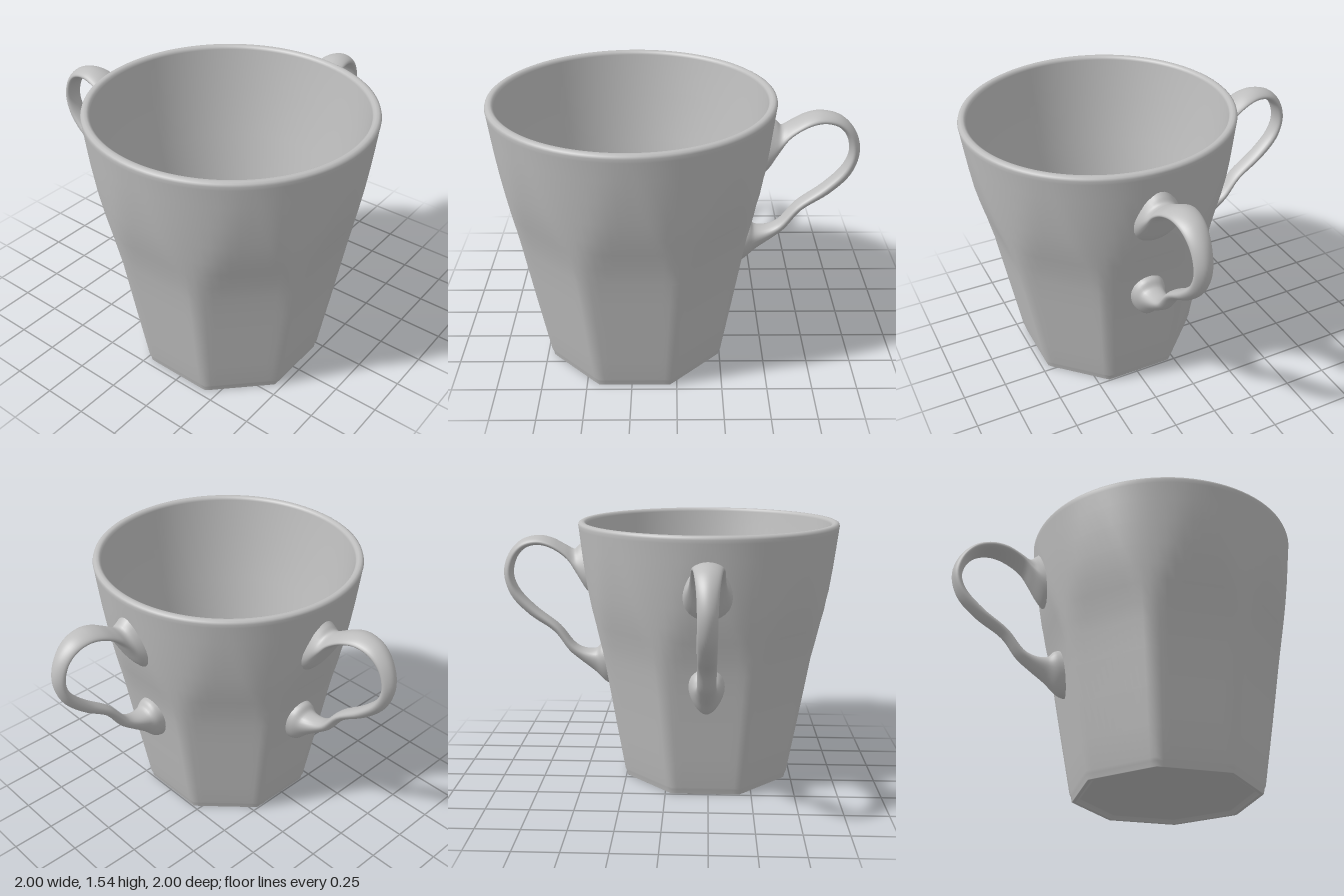
import * as THREE from 'three';

const glaze = new THREE.MeshStandardMaterial({ color: 0xbebebe });
glaze.name = 'grey glaze';

// Smooth skin over rows of closed rings; point(row, angle) gives [x, y, z]
function skin(name, rows, cols, point) {
  const positions = [], index = [];
  rows.forEach((row, i) => {
    for (let j = 0; j < cols; j++) {
      positions.push(...point(row, (j / cols) * Math.PI * 2));
      if (i === rows.length - 1) continue;
      const k = (j + 1) % cols, a = i * cols, b = a + cols;
      index.push(a + j, a + k, b + j, a + k, b + k, b + j);
    }
  });
  const geometry = new THREE.BufferGeometry();
  geometry.setAttribute('position', new THREE.Float32BufferAttribute(positions, 3));
  geometry.setIndex(index);
  geometry.computeVertexNormals();
  const mesh = new THREE.Mesh(geometry, glaze);
  mesh.name = name;
  return mesh;
}

// Cup rows: height, distance to the eight flats, radius of the round cone that trims the corners
const foot = [
  [0.02, 0, 0], [0.02, 0.43, 0.465], [0.018, 0.44, 0.475],
  [0.002, 0.455, 0.492], [0, 0.46, 0.497], [0, 0.475, 0.513], [0.002, 0.478, 0.516],
];
const wall = [
  [0.03, 0.482, 0.521], [0.045, 0.49, 0.529], [0.2, 0.516, 0.556], [0.4, 0.548, 0.591],
  [0.6, 0.58, 0.625], [0.75, 0.607, 0.65], [0.85, 0.629, 0.668], [0.95, 0.657, 0.686],
  [1.04, 0.683, 0.702], [1.15, 0.708, 0.72], [1.28, 0.732, 0.738], [1.4, 0.75, 0.752],
  [1.5, 0.763, 0.763],
];
const rim = [
  [1.52, 0.766, 0.766], [1.533, 0.762, 0.762], [1.54, 0.75, 0.75],
  [1.54, 0.735, 0.735], [1.533, 0.724, 0.724], [1.52, 0.718, 0.718],
];
const inside = [
  [1.3, 0.69, 0.69], [1.0, 0.628, 0.628], [0.7, 0.567, 0.567], [0.4, 0.515, 0.515],
  [0.2, 0.485, 0.485], [0.15, 0.474, 0.474], [0.125, 0.455, 0.455], [0.115, 0.425, 0.425],
  [0.11, 0.2, 0.2], [0.11, 0, 0],
];

function cupPoint([y, flat, round], angle) {
  const side = Math.PI / 4;
  const fromFlat = angle - Math.round(angle / side) * side;
  const r = Math.min(round, flat / Math.cos(fromFlat));
  return [r * Math.cos(angle), y, -r * Math.sin(angle)];
}

// Handle sections: outer x, y, inner x, y, half width
const sections = [
  [0.50, 1.42, 0.435, 1.06, 0.135], [0.535, 1.39, 0.49, 1.12, 0.12],
  [0.565, 1.365, 0.55, 1.22, 0.10], [0.62, 1.39, 0.60, 1.30, 0.09],
  [0.70, 1.43, 0.69, 1.365, 0.085], [0.78, 1.445, 0.78, 1.388, 0.075],
  [0.88, 1.42, 0.86, 1.368, 0.065], [0.96, 1.34, 0.915, 1.31, 0.055],
  [0.997, 1.22, 0.94, 1.21, 0.05], [0.96, 1.08, 0.91, 1.12, 0.05],
  [0.85, 0.96, 0.81, 1.01, 0.05], [0.70, 0.855, 0.665, 0.895, 0.05],
  [0.61, 0.735, 0.57, 0.78, 0.05], [0.54, 0.675, 0.51, 0.752, 0.055],
  [0.45, 0.605, 0.44, 0.755, 0.07], [0.375, 0.535, 0.408, 0.79, 0.09],
  [0.32, 0.52, 0.37, 0.80, 0.10],
];
const cupX = -0.234, cupZ = 0.234;

function handleRows() {
  const curve = (pick) => new THREE.CatmullRomCurve3(sections.map((s) => new THREE.Vector3(...pick(s))));
  const outer = curve((s) => [s[0] - cupX, s[1], s[4]]);
  const inner = curve((s) => [s[2] - cupX, s[3], s[4]]);
  const steps = (sections.length - 1) * 5;
  return Array.from({ length: steps + 1 }, (_, i) => {
    const o = outer.getPoint(i / steps), n = inner.getPoint(i / steps);
    return { mid: o.clone().add(n).multiplyScalar(0.5), half: o.clone().sub(n).multiplyScalar(0.5), width: o.z };
  });
}

// Egg-shaped section, narrower on the outer side of the loop
function handlePoint({ mid, half, width }, angle) {
  const c = Math.cos(angle);
  return [mid.x + half.x * c, mid.y + half.y * c, width * (1 - 0.25 * c) * Math.sin(angle)];
}

export function createModel() {
  const model = new THREE.Group();
  model.name = 'twoHandledCup';

  const body = new THREE.Group();
  body.name = 'cupAndHandles';
  body.position.set(cupX, 0, cupZ);
  model.add(body);

  body.add(skin('cup', [...foot, ...wall, ...rim, ...inside], 96, cupPoint));

  // One handle on the left, its twin a quarter turn round at the back
  const leftHandle = skin('leftHandle', handleRows(), 28, handlePoint);
  const backHandle = leftHandle.clone();
  backHandle.name = 'backHandle';
  backHandle.rotation.y = Math.PI / 2;
  body.add(leftHandle, backHandle);
  return model;
}
